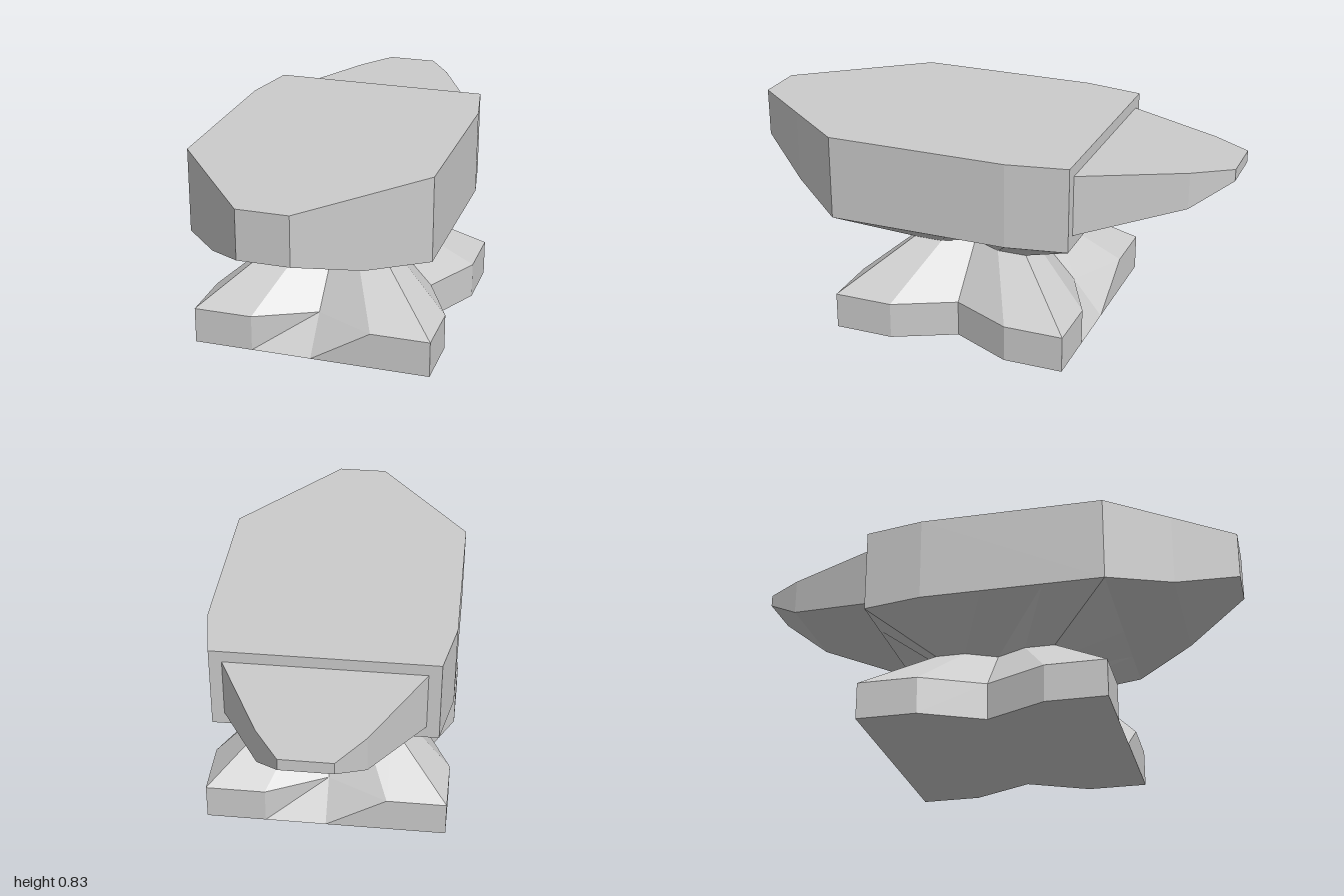
import * as THREE from 'three';

const material = new THREE.MeshStandardMaterial({ color: 0xcccccc, flatShading: true });

// Skin over a stack of equal-length rings (each counter-clockwise seen from the stacking direction)
function loft(name, rings, capStart = true, capEnd = true) {
  const pos = [];
  const tri = (a, b, c) => pos.push(...a, ...b, ...c);
  const n = rings[0].length;
  for (let r = 0; r < rings.length - 1; r++) {
    for (let i = 0; i < n; i++) {
      const j = (i + 1) % n, a = rings[r], b = rings[r + 1];
      tri(a[i], a[j], b[j]);
      tri(a[i], b[j], b[i]);
    }
  }
  const cap = (ring, flip) => {
    const c = [0, 1, 2].map(k => ring.reduce((s, p) => s + p[k], 0) / n);
    for (let i = 0; i < n; i++) {
      const p = ring[i], q = ring[(i + 1) % n];
      flip ? tri(c, q, p) : tri(c, p, q);
    }
  };
  if (capStart) cap(rings[0], true);
  if (capEnd) cap(rings[rings.length - 1], false);
  const geo = new THREE.BufferGeometry();
  geo.setAttribute('position', new THREE.Float32BufferAttribute(pos, 3));
  geo.computeVertexNormals();
  const mesh = new THREE.Mesh(geo, material);
  mesh.name = name;
  return mesh;
}

const H = 0.485, Q = 0.245, CZ = 0.025; // half width, quarter point, centre of the foot in z

// Horizontal square ring with notched side and end midpoints
function squareRing(y, scale, sideNotch, endNotch, backTaper = 0) {
  const s = H - sideNotch, e = H - endNotch, b = H - backTaper;
  return [
    [H, H], [H, Q], [s, 0], [H, -Q],
    [b, -H], [Q, -H], [0, -e], [-Q, -H],
    [-b, -H], [-H, -Q], [-s, 0], [-H, Q],
    [-H, H], [-Q, H], [0, e], [Q, H],
  ].map(([x, z]) => [x * scale, y, z * scale + CZ]);
}

// Upright rectangular section at depth z
const slab = ([z, halfW, bottom, top]) => [
  [-halfW, bottom, z], [halfW, bottom, z], [halfW, top, z], [-halfW, top, z],
];

export function createModel() {
  const group = new THREE.Group();
  group.name = 'anvil';

  // Notched foot, sloping in to the waist
  group.add(loft('foot', [
    squareRing(0, 1, 0.12, 0),
    squareRing(0.148, 1, 0.12, 0.12),
    squareRing(0.345, 0.5, 0.12, 0.12),
  ], true, false));

  // Flare from the waist out to the body
  group.add(loft('waist', [
    squareRing(0.345, 0.5, 0.12, 0.12),
    squareRing(0.49, 1, 0, 0, 0.045),
  ], false, false));

  // Body with the blunt front horn
  group.add(loft('body', [
    [-0.46, 0.44, 0.49, 0.83],
    [-0.22, H, 0.49, 0.83],
    [0.51, H, 0.49, 0.83],
    [0.755, 0.293, 0.538, 0.83],
    [1, 0.1, 0.635, 0.83],
  ].map(slab)));

  // Lower tapered horn at the back
  group.add(loft('backHorn', [
    [-1, 0.1, 0.735, 0.783],
    [-0.85, 0.2, 0.637, 0.783],
    [-0.46, 0.39, 0.54, 0.783],
  ].map(slab), true, false));

  return group;
}
